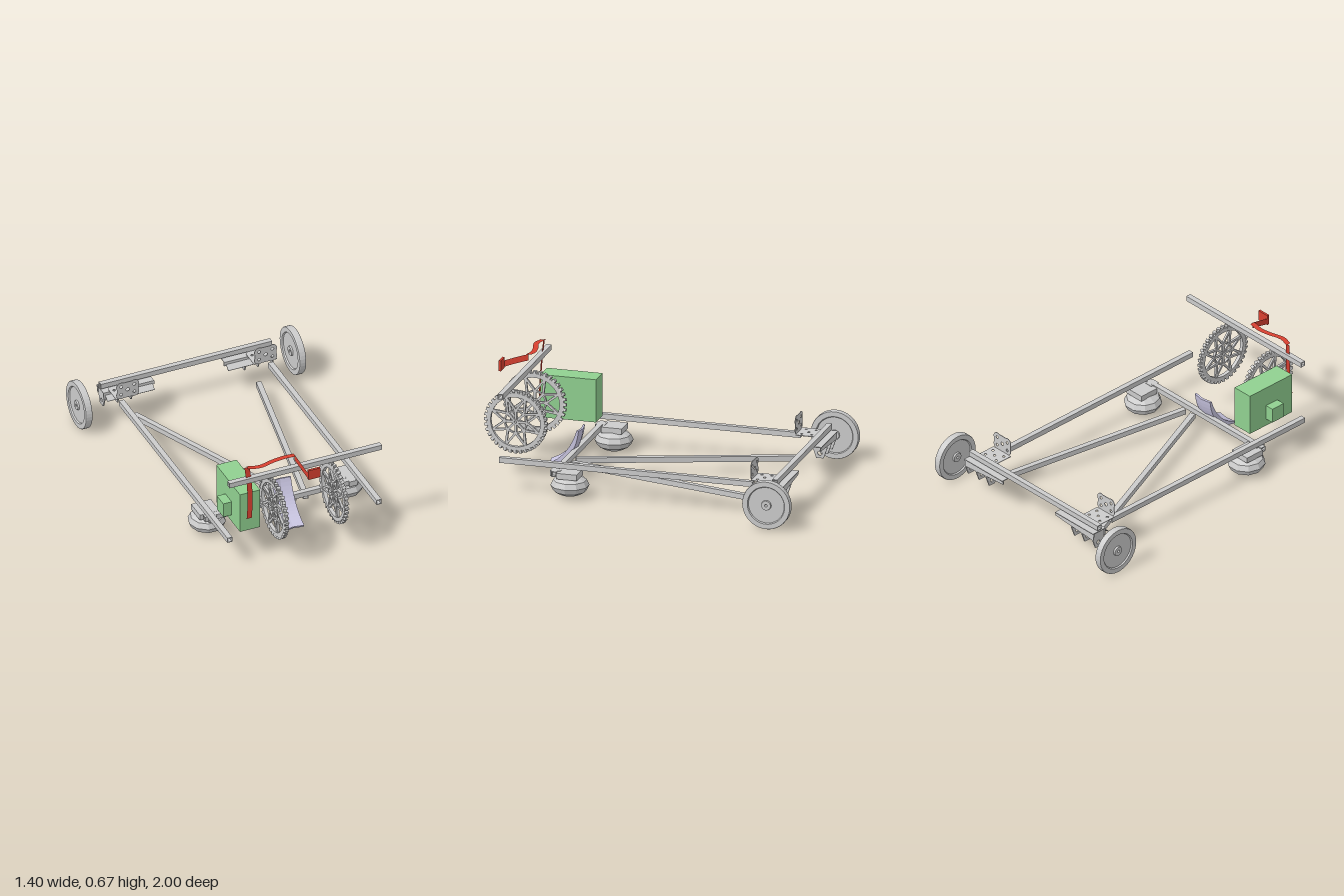
import * as THREE from 'three';

const material = (color) => new THREE.MeshStandardMaterial({ color, flatShading: true, side: THREE.DoubleSide });
const grey = material(0xcccccc), green = material(0x90d090), red = material(0xd84030), lilac = material(0xc8c4e0);
const V = (x, y, z) => new THREE.Vector3(x, y, z);

export function createModel() {
  const model = new THREE.Group();

  function add(name, geometry, mat = grey, parent = model, pos = [0, 0, 0]) {
    const mesh = new THREE.Mesh(geometry, mat);
    mesh.name = name;
    mesh.position.set(...pos);
    parent.add(mesh);
    return mesh;
  }
  const box = (name, size, pos, mat, parent) => add(name, new THREE.BoxGeometry(...size), mat, parent, pos);
  const extrude = (shape, depth, curveSegments = 8) =>
    new THREE.ExtrudeGeometry(shape, { depth, bevelEnabled: false, curveSegments });
  function hole(shape, x, y, r) {
    shape.holes.push(new THREE.Path().absarc(x, y, r, 0, Math.PI * 2, true));
  }
  function polygon(points) {
    return new THREE.Shape(points.map(([x, y]) => new THREE.Vector2(x, y)));
  }

  // Hollow square tube running from a to b
  function tube(name, a, b, w = 0.032) {
    const square = (h) => [[-h, -h], [h, -h], [h, h], [-h, h]];
    const shape = polygon(square(w / 2));
    shape.holes.push(polygon(square(w / 2 - 0.004)));
    const mesh = add(name, extrude(shape, a.distanceTo(b)));
    mesh.position.copy(a);
    mesh.lookAt(b);
  }

  // Frame
  tube('leftRail', V(0.47, 0.195, -0.71), V(0.47, 0.195, 0.825));
  tube('rightRail', V(-0.475, 0.195, -0.71), V(-0.475, 0.195, 0.825));
  tube('leftDiagonal', V(0.395, 0.08, -0.71), V(0.16, 0.105, 0.48));
  tube('rightDiagonal', V(-0.39, 0.08, -0.71), V(0.09, 0.105, 0.48));
  tube('frontCrossbar', V(-0.49, 0.142, 0.493), V(0.49, 0.142, 0.493));
  tube('upperFrontBar', V(-0.48, 0.58, 0.817), V(0.485, 0.58, 0.817));
  tube('rearBeam', V(-0.545, 0.24, -0.86), V(0.54, 0.24, -0.86));

  // Rear wheels: raised rim, recessed web, projecting hub
  const wheelProfile = [
    [0.008, -0.022], [0.028, -0.022], [0.03, -0.012], [0.108, -0.012], [0.113, -0.02], [0.143, -0.02], [0.145, -0.015],
    [0.145, 0.015], [0.143, 0.02], [0.113, 0.02], [0.108, 0.012], [0.03, 0.012], [0.028, 0.022], [0.008, 0.022], [0.008, -0.022],
  ].map(([r, h]) => new THREE.Vector2(r, h));
  for (const s of [-1, 1]) {
    const wheel = add('rearWheel', new THREE.LatheGeometry(wheelProfile, 40), grey, model, [s * 0.677, 0.147, -0.855]);
    wheel.rotation.z = Math.PI / 2;
  }

  // Sprocket-like front wheels, axle along x
  function strut(parent, a, b, w, depth) {
    const [dx, dy] = [b[0] - a[0], b[1] - a[1]];
    const mesh = box('spoke', [Math.hypot(dx, dy), w, depth], [(a[0] + b[0]) / 2, (a[1] + b[1]) / 2, 0], grey, parent);
    mesh.rotation.z = Math.atan2(dy, dx);
  }
  const polar = (r, t) => [r * Math.cos(t), r * Math.sin(t)];
  function ring(parent, outer, inner, depth, segments) {
    const shape = new THREE.Shape().absarc(0, 0, outer, 0, Math.PI * 2, false);
    hole(shape, 0, 0, inner);
    add('ring', extrude(shape, depth, segments), grey, parent, [0, 0, -depth / 2]);
  }
  for (const s of [-1, 1]) {
    const wheel = new THREE.Group();
    wheel.name = 'spokedFrontWheel';
    ring(wheel, 0.176, 0.15, 0.022, 32);
    ring(wheel, 0.071, 0.062, 0.016, 16);
    ring(wheel, 0.018, 0.008, 0.02, 12);
    for (let i = 0; i < 8; i++) {
      const t = (i * Math.PI) / 4;
      strut(wheel, polar(0.015, t), polar(0.066, t), 0.014, 0.014);
      for (const side of [-1, 1])
        strut(wheel, polar(0.068, t), polar(0.154, t + side * Math.PI / 8), 0.013, 0.014);
    }
    // Slanted tread blocks
    for (let i = 0; i < 36; i++) {
      const t = (i * Math.PI) / 18;
      const tread = box('tread', [0.02, 0.018, 0.022], [...polar(0.18, t), 0], grey, wheel);
      tread.rotation.set(0, 0, t);
      tread.rotateX(s * 0.3);
    }
    wheel.rotation.y = Math.PI / 2;
    wheel.position.set(s * 0.19, 0.337, 0.812);
    model.add(wheel);
  }

  for (const s of [-1, 1]) {
    // Faceted front foot with its mount
    const foot = add('frontFoot', new THREE.SphereGeometry(1, 10, 6), grey, model, [s * 0.436, 0.07, 0.41]);
    foot.scale.set(0.112, 0.064, 0.113);
    box('footMount', [0.125, 0.035, 0.125], [s * 0.445, 0.138, 0.41]);
    box('footClamp', [0.05, 0.035, 0.06], [s * 0.445, 0.14, 0.49]);

    // Rear L bracket: lobed upright plate and flat flange, both drilled
    const lobes = new THREE.Shape();
    const corners = [[0.042, 0.026], [-0.042, 0.026], [-0.042, -0.026], [0.042, -0.026]];
    corners.forEach(([x, y], i) => {
      const t = (i * Math.PI) / 2;
      lobes.absarc(x, y, 0.03, t - 0.5, t + Math.PI / 2 + 0.5, false);
    });
    corners.forEach(([x, y]) => hole(lobes, x, y, 0.009));
    hole(lobes, 0, 0, 0.011);
    add('bracketPlate', extrude(lobes, 0.004), grey, model, [s * 0.437, 0.28, -0.708]);
    const flange = polygon([[-0.073, 0], [0.073, 0], [0.073, 0.11], [0.06, 0.13], [-0.06, 0.13], [-0.073, 0.11]]);
    [[-0.045, 0.03], [0.045, 0.03], [0, 0.06], [-0.045, 0.09], [0.045, 0.09]].forEach(([x, y]) => hole(flange, x, y, 0.008));
    const flat = add('bracketFlange', extrude(flange, 0.004), grey, model, [s * 0.437, 0.224, -0.708]);
    flat.rotation.x = -Math.PI / 2;

    // Tapered channel under the rear beam
    const side = polygon([[0.22, 0.212], [0.545, 0.212], [0.54, 0.165], [0.45, 0.172], [0.22, 0.19]]);
    for (const z of [-0.905, -0.815]) {
      const cheek = add('channelCheek', extrude(side, 0.005), grey, model, [0, 0, z]);
      cheek.scale.x = s;
    }
    box('channelTop', [0.32, 0.005, 0.1], [s * 0.383, 0.213, -0.86]);
    const lip = box('channelLip', [0.3, 0.005, 0.04], [s * 0.383, 0.185, -0.795]);
    lip.rotation.x = 0.6;

    // Drilled lugs hanging below the channel
    const lug = polygon([[-0.045, 0.21], [0.045, 0.21], [0.045, 0.17], [0.022, 0.105], [-0.022, 0.105], [-0.045, 0.17]]);
    hole(lug, 0, 0.135, 0.013);
    for (const x of [0.535, 0.445, 0.36]) {
      const mesh = add('axleLug', extrude(lug, 0.008), grey, model, [s * x, 0, -0.86]);
      mesh.rotation.y = Math.PI / 2;
    }
  }

  // Green housing with side block
  box('housing', [0.128, 0.26, 0.335], [-0.338, 0.348, 0.637], green);
  box('housingSideBlock', [0.055, 0.092, 0.09], [-0.428, 0.31, 0.643], green);

  // Curved scoop plate, slightly folded along its middle
  const scoop = new THREE.BoxGeometry(0.128, 1, 1, 2, 14, 1);
  const back = new THREE.QuadraticBezierCurve(new THREE.Vector2(0.478, 0.272), new THREE.Vector2(0.515, 0.085), new THREE.Vector2(0.672, 0.046));
  const p = scoop.attributes.position;
  for (let i = 0; i < p.count; i++) {
    const t = 0.5 - p.getY(i);
    const c = back.getPoint(t), d = back.getTangent(t);
    const fold = Math.abs(p.getX(i)) < 0.01 ? -0.01 : 0;
    const off = p.getZ(i) * (0.012 + 0.02 * Math.sin(Math.PI * t)) + fold * (1 - t);
    p.setXYZ(i, p.getX(i), c.y + d.x * off, c.x - d.y * off + fold * t);
  }
  scoop.computeVertexNormals();
  add('scoop', scoop, lilac);

  // Flat ribbon along a curve, widened by a vector
  function ribbon(name, points, width) {
    const curve = new THREE.CatmullRomCurve3(points);
    const n = 16, verts = [], index = [];
    for (let i = 0; i <= n; i++) {
      const c = curve.getPoint(i / n);
      verts.push(...c.clone().sub(width).toArray(), ...c.clone().add(width).toArray());
      if (i < n) index.push(2 * i, 2 * i + 1, 2 * i + 2, 2 * i + 1, 2 * i + 3, 2 * i + 2);
    }
    const g = new THREE.BufferGeometry();
    g.setAttribute('position', new THREE.Float32BufferAttribute(verts, 3));
    g.setIndex(index);
    g.computeVertexNormals();
    add(name, g, red);
  }

  // Red linkage: upright strap, cross strap, arm and pedal
  ribbon('linkUpright', [V(-0.357, 0.32, 0.835), V(-0.348, 0.43, 0.828), V(-0.35, 0.55, 0.82), V(-0.36, 0.663, 0.81)], V(0.016, 0, 0));
  ribbon('linkCrossStrap', [V(-0.36, 0.663, 0.815), V(-0.29, 0.663, 0.833), V(-0.2, 0.662, 0.812), V(-0.13, 0.662, 0.803), V(-0.06, 0.667, 0.812)], V(0, 0, 0.016));
  ribbon('linkArm', [V(-0.06, 0.65, 0.812), V(-0.05, 0.628, 0.885), V(-0.038, 0.603, 0.957)], V(0, 0.019, 0));
  box('pedal', [0.075, 0.064, 0.014], [-0.002, 0.613, 0.957], red);

  return model;
}
